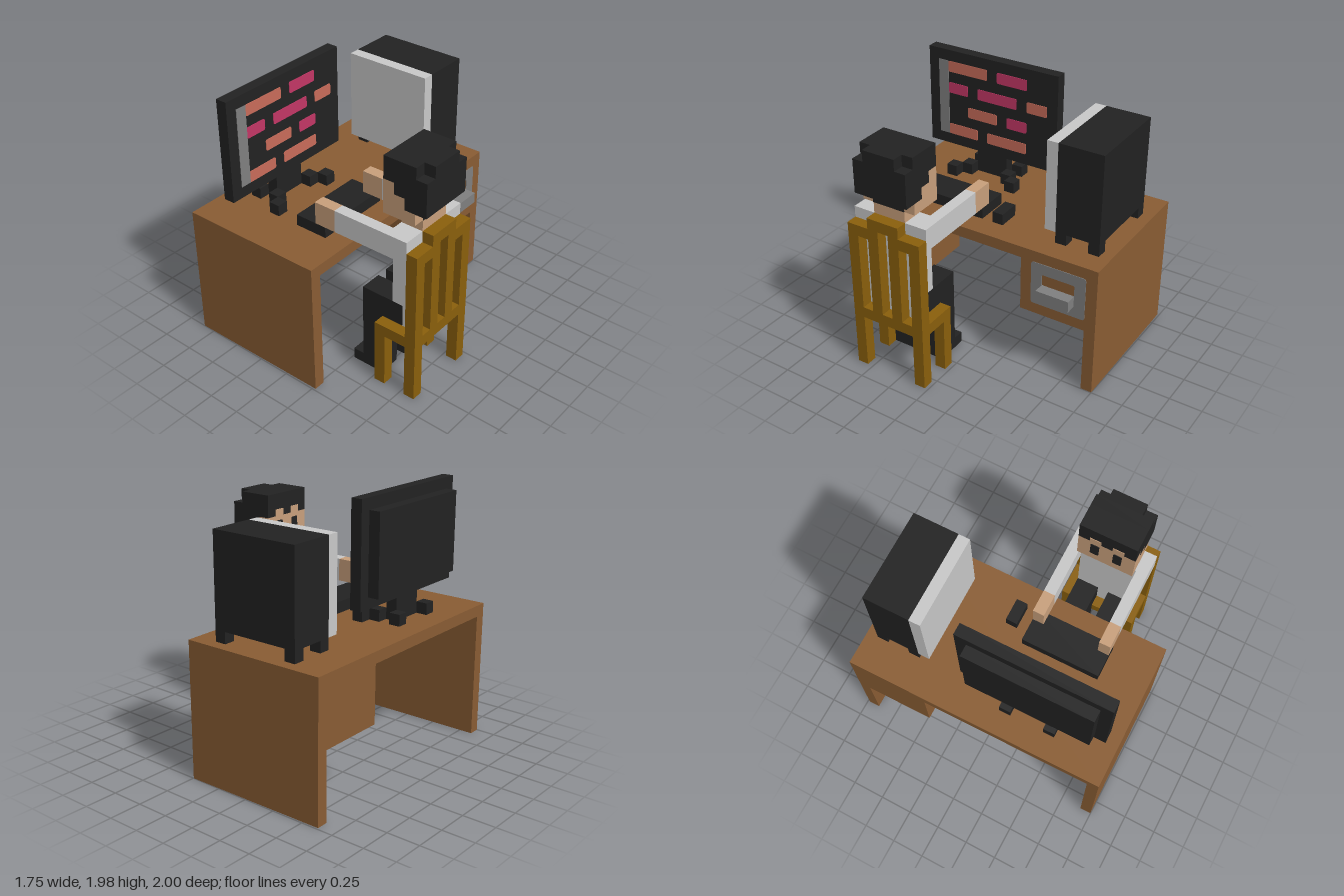
import * as THREE from 'three';

const U = 0.0863; // size of one building block; all parts are laid out in blocks

const mat = (name, color) => {
  const m = new THREE.MeshStandardMaterial({ color });
  m.name = name;
  return m;
};

export function createModel() {
  const wood = mat('deskWood', 0x8a5d34);
  const chairWood = mat('chairWood', 0x8b600c);
  const dark = mat('darkPlastic', 0x222222);
  const light = mat('lightGrey', 0xc9c9c9);
  const grey = mat('midGrey', 0x808080);
  const skin = mat('skin', 0xc9a07c);
  const salmon = mat('salmon', 0xc96c5a);
  const magenta = mat('magenta', 0xc43766);

  const blocks = new THREE.Group();
  blocks.name = 'workstation';
  blocks.scale.setScalar(U);
  blocks.position.set(-10 * U, 0, -11.55 * U);

  const part = (name) => {
    const g = new THREE.Group();
    g.name = name;
    blocks.add(g);
    return g;
  };

  // box from x, y and z ranges
  const box = (parent, name, m, [x0, x1], [y0, y1], [z0, z1]) => {
    const mesh = new THREE.Mesh(new THREE.BoxGeometry(x1 - x0, y1 - y0, z1 - z0), m);
    mesh.position.set((x0 + x1) / 2, (y0 + y1) / 2, (z0 + z1) / 2);
    mesh.name = name;
    parent.add(mesh);
  };

  // closed outline in the z-y plane, with optional corner radius
  const trace = (path, [z0, z1], [y0, y1], r = 0) => {
    const a = -z1, b = -z0;
    path.moveTo(a + r, y0);
    path.lineTo(b - r, y0);
    if (r) path.quadraticCurveTo(b, y0, b, y0 + r);
    path.lineTo(b, y1 - r);
    if (r) path.quadraticCurveTo(b, y1, b - r, y1);
    path.lineTo(a + r, y1);
    if (r) path.quadraticCurveTo(a, y1, a, y1 - r);
    path.lineTo(a, y0 + r);
    if (r) path.quadraticCurveTo(a, y0, a + r, y0);
    return path;
  };

  // extrude a z-y outline along x
  const extrudeX = (parent, name, m, shape, x, depth) => {
    const g = new THREE.ExtrudeGeometry(shape, { depth, bevelEnabled: false, curveSegments: 4 });
    const mesh = new THREE.Mesh(g.rotateY(Math.PI / 2).translate(x, 0, 0), m);
    mesh.name = name;
    parent.add(mesh);
  };
  const plate = (parent, name, m, x, z, y, r) =>
    extrudeX(parent, name, m, trace(new THREE.Shape(), z, y, r), x, 0.05);

  // Desk
  const desk = part('desk');
  box(desk, 'deskTop', wood, [0, 13], [11, 12], [0, 23]);
  box(desk, 'rightPanel', wood, [0, 13], [0, 11], [0, 1]);
  box(desk, 'leftPanel', wood, [0, 13], [0, 11], [22, 23]);
  box(desk, 'drawerCabinet', wood, [0, 13], [6, 11], [1, 7]);
  const front = trace(new THREE.Shape(), [1, 6], [7, 11], 0.25);
  front.holes.push(trace(new THREE.Path(), [2, 5], [9, 10], 0.15));
  extrudeX(desk, 'drawerFront', grey, front, 13, 0.05);
  box(desk, 'drawerHandle', grey, [13, 14], [8, 9], [2, 5]);

  // Computer tower
  const tower = part('computerTower');
  box(tower, 'towerCase', dark, [3, 11], [13, 21], [1, 5]);
  box(tower, 'towerFront', light, [3, 11], [13, 21], [5, 6]);
  for (const x of [3, 10]) for (const z of [1, 4])
    box(tower, 'towerFoot', dark, [x, x + 1], [12, 13], [z, z + 1]);

  // Monitor and its stand
  const monitor = part('monitor');
  box(monitor, 'screenSlab', dark, [3, 4], [14, 23], [9, 22]);
  box(monitor, 'monitorBack', dark, [2, 3], [15, 22], [10, 21]);
  box(monitor, 'monitorNeck', dark, [3, 4], [12, 14], [14, 17]);
  for (const [x, out] of [[2, 0], [4, 0], [5, 1]])
    for (const z of [13 - out, 17 + out])
      box(monitor, 'standFoot', dark, [x, x + 1], [12, 13], [z, z + 1]);

  // Lines shown on the screen: colour, row height, z range
  plate(monitor, 'screenSidebar', grey, 4, [20, 21], [15, 22], 0);
  [
    [salmon, 21, 16, 20], [magenta, 21, 12, 15],
    [magenta, 19, 18, 20], [magenta, 19, 13, 17], [salmon, 19, 10, 12],
    [salmon, 17, 15, 18], [magenta, 17, 12, 14],
    [salmon, 15, 17, 20], [salmon, 15, 12, 16],
  ].forEach(([m, y, z0, z1]) => plate(monitor, 'screenLine', m, 4, [z0, z1], [y, y + 1], 0.15));

  // Desk accessories
  box(blocks, 'keyboard', dark, [8, 11], [12, 13], [12, 19]);
  box(blocks, 'mouse', dark, [9, 11], [12, 13], [10, 11]);

  // Chair
  const chair = part('chair');
  const back = new THREE.Shape();
  [[12, 5], [12, 14], [14, 14], [14, 15], [17, 15], [17, 14], [19, 14], [19, 5]]
    .forEach(([z, y], i) => (i ? back.lineTo(-z, y) : back.moveTo(-z, y)));
  for (const [z, top] of [[13, 13], [15, 14], [17, 13]])
    back.holes.push(trace(new THREE.Path(), [z, z + 1], [6, top]));
  extrudeX(chair, 'chairBack', chairWood, back, 19, 1);
  box(chair, 'seat', chairWood, [16, 19], [5, 6], [12, 19]);
  for (const x of [16, 19]) for (const z of [12, 18])
    box(chair, 'chairLeg', chairWood, [x, x + 1], [0, 5], [z, z + 1]);

  // Seated person
  const person = part('person');
  box(person, 'torso', light, [17, 19], [8, 15], [13, 18]);
  box(person, 'waist', light, [18, 19], [6, 8], [13, 18]);
  box(person, 'belly', light, [17, 18], [6, 8], [15, 16]);
  for (const z of [12, 18]) {
    box(person, 'sleeve', light, [12, 19], [13, 15], [z, z + 1]);
    box(person, 'hand', skin, [10, 12], [13, 15], [z, z + 1]);
  }
  for (const z of [13, 16]) {
    box(person, 'thigh', dark, [14, 18], [6, 8], [z, z + 2]);
    box(person, 'shin', dark, [14, 16], [1, 6], [z, z + 2]);
    box(person, 'shoe', dark, [13, 16], [0, 1], [z, z + 2]);
  }
  box(person, 'neck', skin, [17, 19], [15, 16], [14, 17]);

  // Head: hair line steps down towards the back
  [19, 18, 17].forEach((y, i) => {
    const x = [16 + i, 17 + i];
    box(person, 'face', skin, x, [16, y], [13, 18]);
    box(person, 'hair', dark, x, [y, 21], [13, 18]);
  });
  box(person, 'backHair', dark, [19, 20], [17, 20], [13, 18]);
  box(person, 'backHairTop', dark, [19, 20], [20, 21], [14, 17]);
  plate(person, 'napeHair', dark, 19, [14, 17], [16, 17], 0);
  for (const z of [14, 16]) {
    plate(person, 'fringeGap', skin, 15.95, [z, z + 1], [19, 19.6], 0);
    plate(person, 'eye', dark, 15.94, [z + 0.12, z + 0.88], [17, 18.6], 0.12);
  }

  // The whole set stands very slightly turned
  const model = new THREE.Group();
  model.name = 'personAtDesk';
  model.add(blocks);
  model.rotation.y = 0.0125;
  return model;
}
